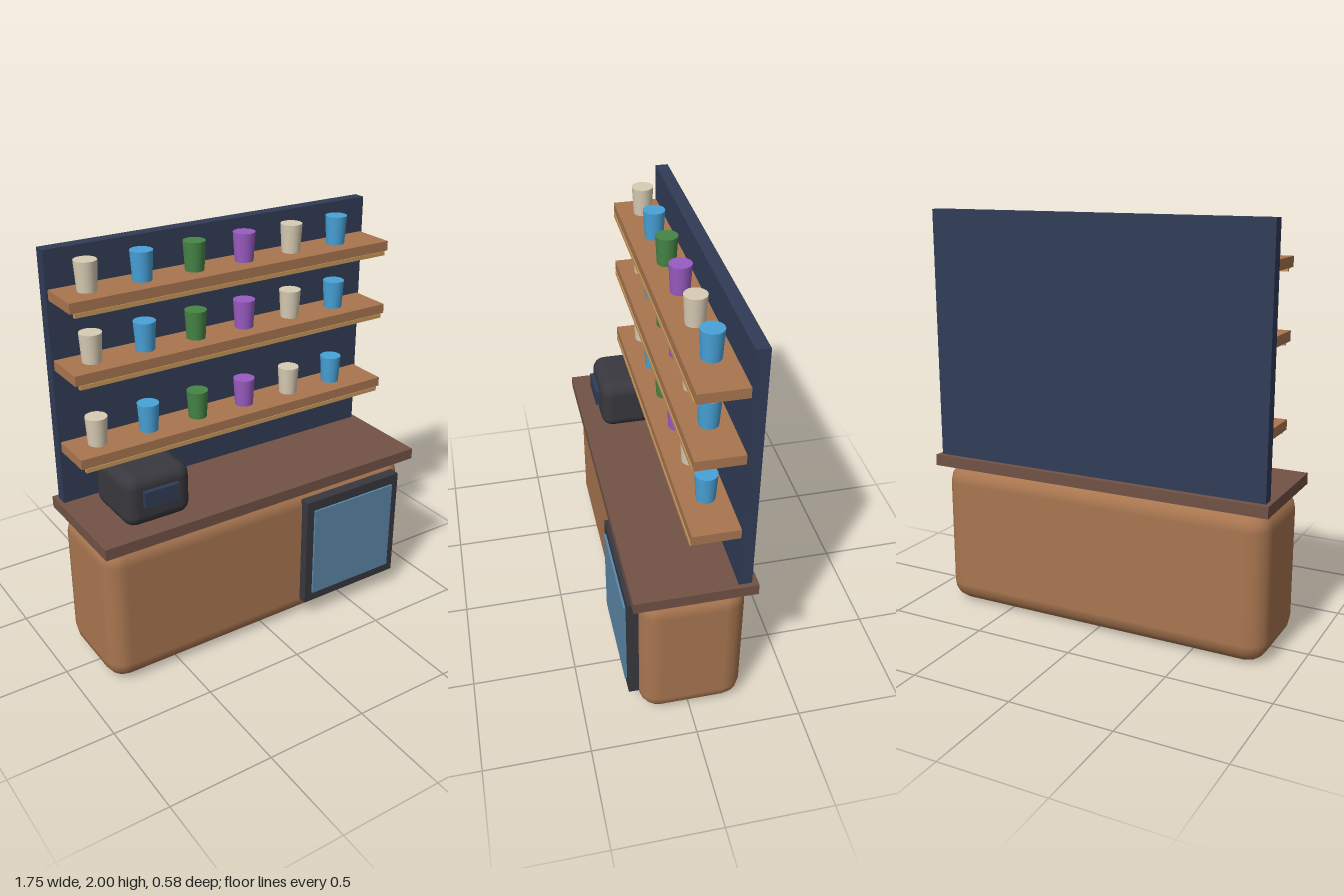
import * as THREE from 'three';
import { RoundedBoxGeometry } from 'three/addons/geometries/RoundedBoxGeometry.js';

const mat = (name, color) => {
  const m = new THREE.MeshStandardMaterial({ color });
  m.name = name;
  return m;
};

export function createModel() {
  const group = new THREE.Group();
  const wood = mat('warm wood', 0xa97650);
  const brown = mat('dark brown', 0x725245);
  const navy = mat('navy', 0x303c56);
  const charcoal = mat('charcoal', 0x38383e);
  const glass = mat('glass blue', 0x5b88a8);
  const gold = mat('gold trim', 0xc8985a);
  const cream = mat('cream', 0xd8ccb4);
  const blue = mat('sky blue', 0x48a2d8);
  const green = mat('green', 0x468545);
  const purple = mat('purple', 0x9a5cc2);

  const add = (name, geometry, material, x, y, z, parent = group) => {
    const mesh = new THREE.Mesh(geometry, material);
    mesh.name = name;
    mesh.position.set(x, y, z);
    parent.add(mesh);
    return mesh;
  };
  // Block given by its lower and upper limits; a radius rounds it
  const block = (name, material, [x0, x1], [y0, y1], [z0, z1], radius = 0, segments = 2, parent = group) => {
    const size = [x1 - x0, y1 - y0, z1 - z0];
    const geometry = radius
      ? new RoundedBoxGeometry(...size, segments, radius)
      : new THREE.BoxGeometry(...size);
    return add(name, geometry, material, (x0 + x1) / 2, (y0 + y1) / 2, (z0 + z1) / 2, parent);
  };

  // Counter and back wall
  block('counterBody', wood, [-0.86, 0.86], [0, 0.738], [-0.26, 0.235], 0.1, 2);
  block('countertop', brown, [-0.876, 0.876], [0.735, 0.79], [-0.29, 0.27]);
  block('backPanel', navy, [-0.855, 0.855], [0.79, 2], [-0.262, -0.202]);

  // Cooler door
  block('doorFrame', charcoal, [0.205, 0.78], [0.095, 0.68], [0.225, 0.28]);
  block('doorGlass', glass, [0.247, 0.738], [0.145, 0.628], [0.27, 0.29]);

  // Countertop machine
  block('machineBody', charcoal, [-0.715, -0.38], [0.775, 1.035], [-0.165, 0.178], 0.06, 3);
  block('machineScreen', navy, [-0.636, -0.46], [0.885, 0.965], [0.17, 0.2]);

  // Shelves with trim strips and rows of jars
  const jar = new THREE.CylinderGeometry(0.052, 0.044, 0.135, 20);
  const jarColours = [cream, blue, green, purple, cream, blue];
  for (const top of [1.105, 1.505, 1.827]) {
    const shelf = new THREE.Group();
    shelf.name = 'shelfUnit';
    group.add(shelf);
    block('shelf', wood, [-0.845, 0.845], [top - 0.047, top], [-0.203, 0.013], 0, 2, shelf);
    block('trimStrip', gold, [-0.825, 0.825], [top - 0.067, top - 0.047], [-0.002, 0.017], 0, 2, shelf);
    jarColours.forEach((colour, i) =>
      add('jar', jar, colour, -0.708 + i * 0.264, top + 0.0675, -0.105, shelf));
  }

  return group;
}
